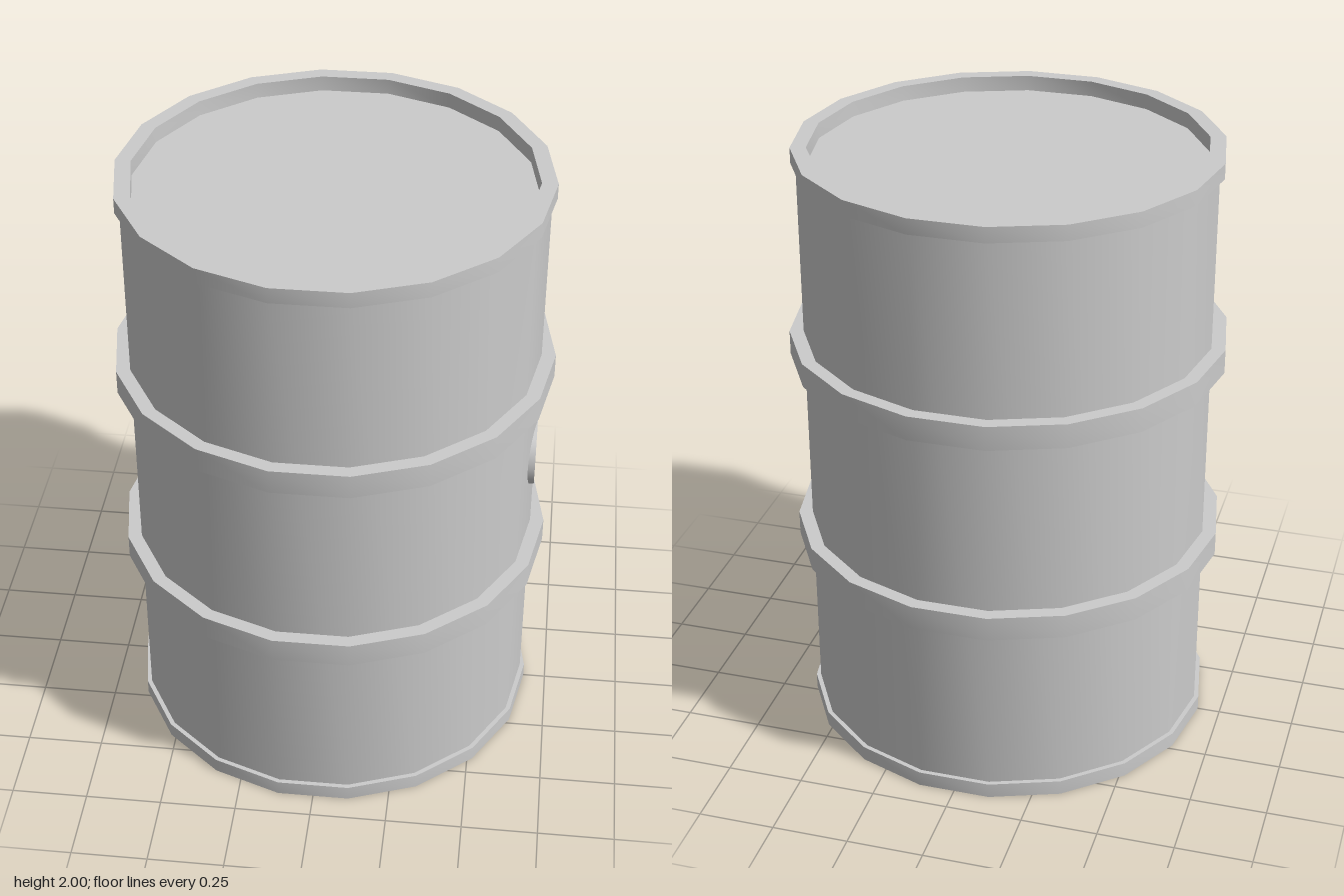
import * as THREE from 'three';
import { toCreasedNormals } from 'three/addons/utils/BufferGeometryUtils.js';

const SIDES = 18;
const BODY_R = 0.66, RIM_R = 0.675, HOOP_R = 0.705, LID_R = 0.625;
const HEIGHT = 2, RIM_H = 0.05, HOOP_H = 0.08;

export function createModel() {
  const drum = new THREE.Group();
  drum.name = 'drum';
  const material = new THREE.MeshStandardMaterial({ color: 0xcccccc });

  // Revolves [radius, y] points listed bottom to top on the outside, with a corner on +x
  const addRevolved = (name, profile) => {
    const points = profile.map(([r, y]) => new THREE.Vector2(r, y));
    const lathe = new THREE.LatheGeometry(points, SIDES, Math.PI / 2);
    const mesh = new THREE.Mesh(toCreasedNormals(lathe, Math.PI / 5), material);
    mesh.name = name;
    drum.add(mesh);
  };

  // Wall
  addRevolved('body', [[BODY_R, RIM_H], [BODY_R, HEIGHT - RIM_H]]);

  // Flat base with its rim
  addRevolved('bottomRim', [[0, 0], [RIM_R, 0], [RIM_R, RIM_H], [BODY_R, RIM_H]]);

  // Raised rim around the sunken lid
  const lidY = HEIGHT - RIM_H;
  addRevolved('topRim', [[BODY_R, lidY], [RIM_R, lidY], [RIM_R, HEIGHT], [LID_R, HEIGHT], [LID_R, lidY]]);
  addRevolved('lid', [[LID_R, lidY], [0, lidY]]);

  // Two rolling hoops
  [['lowerHoop', 0.67], ['upperHoop', 1.34]].forEach(([name, y]) => {
    const low = y - HOOP_H / 2, high = y + HOOP_H / 2;
    addRevolved(name, [[BODY_R, low], [HOOP_R, low], [HOOP_R, high], [BODY_R, high]]);
  });

  // Round plug on the left side
  const plug = new THREE.Mesh(new THREE.CylinderGeometry(0.11, 0.11, 0.06, 32), material);
  plug.name = 'plug';
  plug.rotation.z = -Math.PI / 2;
  plug.position.set(0.633, 1, 0);
  drum.add(plug);

  return drum;
}
